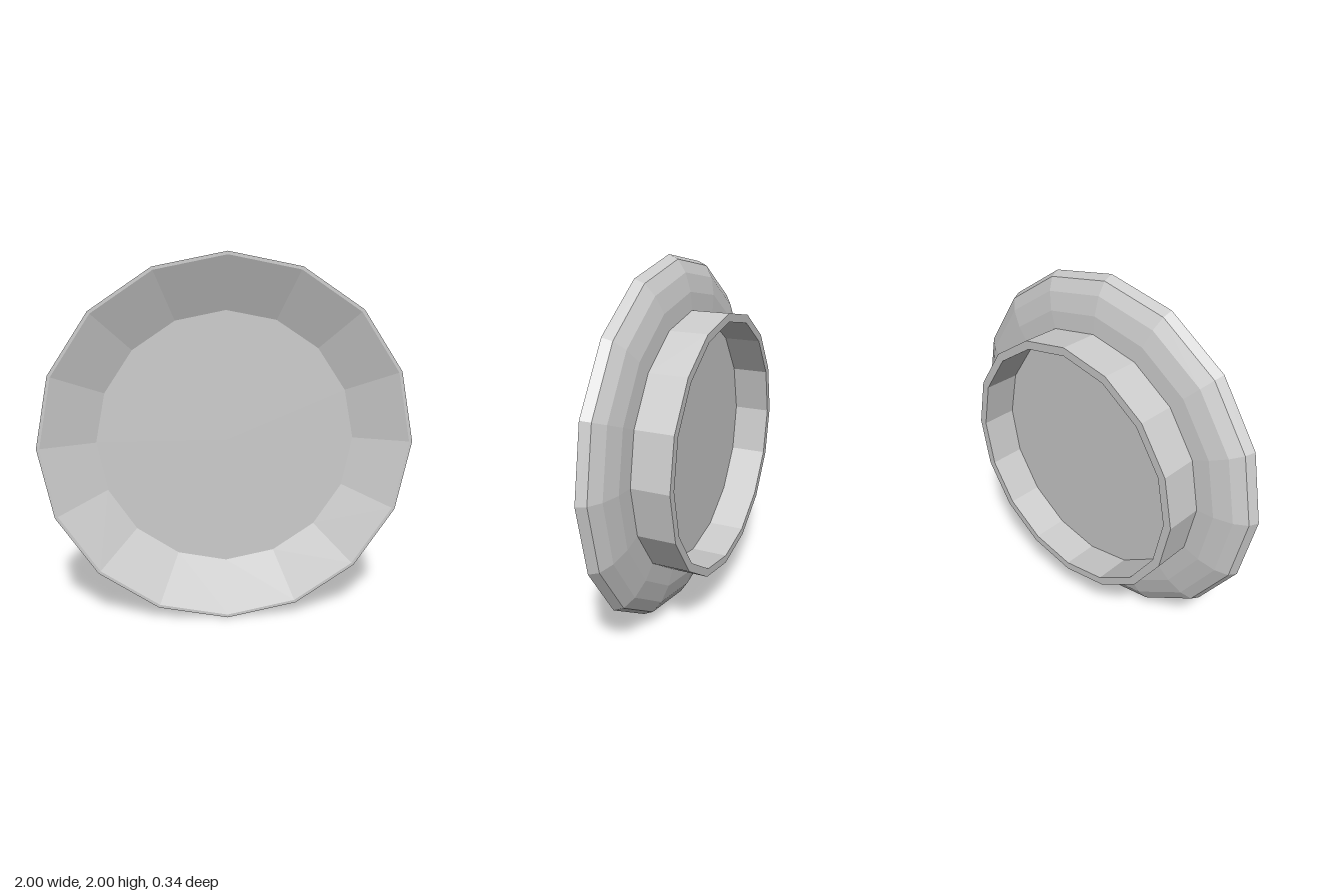
import * as THREE from 'three';

const SIDES = 16;

// Faceted solid of revolution around the z axis, from [radius, z] pairs
function turned(name, profile, material) {
  const points = profile.map(([r, z]) => new THREE.Vector2(r, z));
  const geometry = new THREE.LatheGeometry(points, SIDES);
  geometry.rotateX(Math.PI / 2);
  const mesh = new THREE.Mesh(geometry, material);
  mesh.name = name;
  mesh.position.y = 1;
  return mesh;
}

export function createModel() {
  const group = new THREE.Group();
  group.name = 'dish';
  const material = new THREE.MeshStandardMaterial({ color: 0xcccccc, flatShading: true });

  // Dish: flat back, rounded outside, thin rim, sloped inside, flat floor
  const rimZ = 0.168, backZ = 0.037, floorRadius = 0.7;
  const profile = [[0, backZ]];
  const steps = 4;
  for (let i = 0; i <= steps; i++) {
    const a = (i / steps) * Math.PI / 2;
    profile.push([
      floorRadius + (1 - floorRadius) * Math.sin(a),
      rimZ - (rimZ - backZ) * Math.cos(a),
    ]);
  }
  profile.push([0.983, rimZ], [floorRadius, 0.052], [0, 0.052]);
  group.add(turned('dishBody', profile, material));

  // Foot: open ring standing out behind the dish
  const outer = 0.72, inner = 0.675, footZ = -0.168, joinZ = 0.04;
  group.add(turned('footRing', [
    [inner, joinZ], [inner, footZ], [outer, footZ], [outer, joinZ],
  ], material));

  return group;
}
